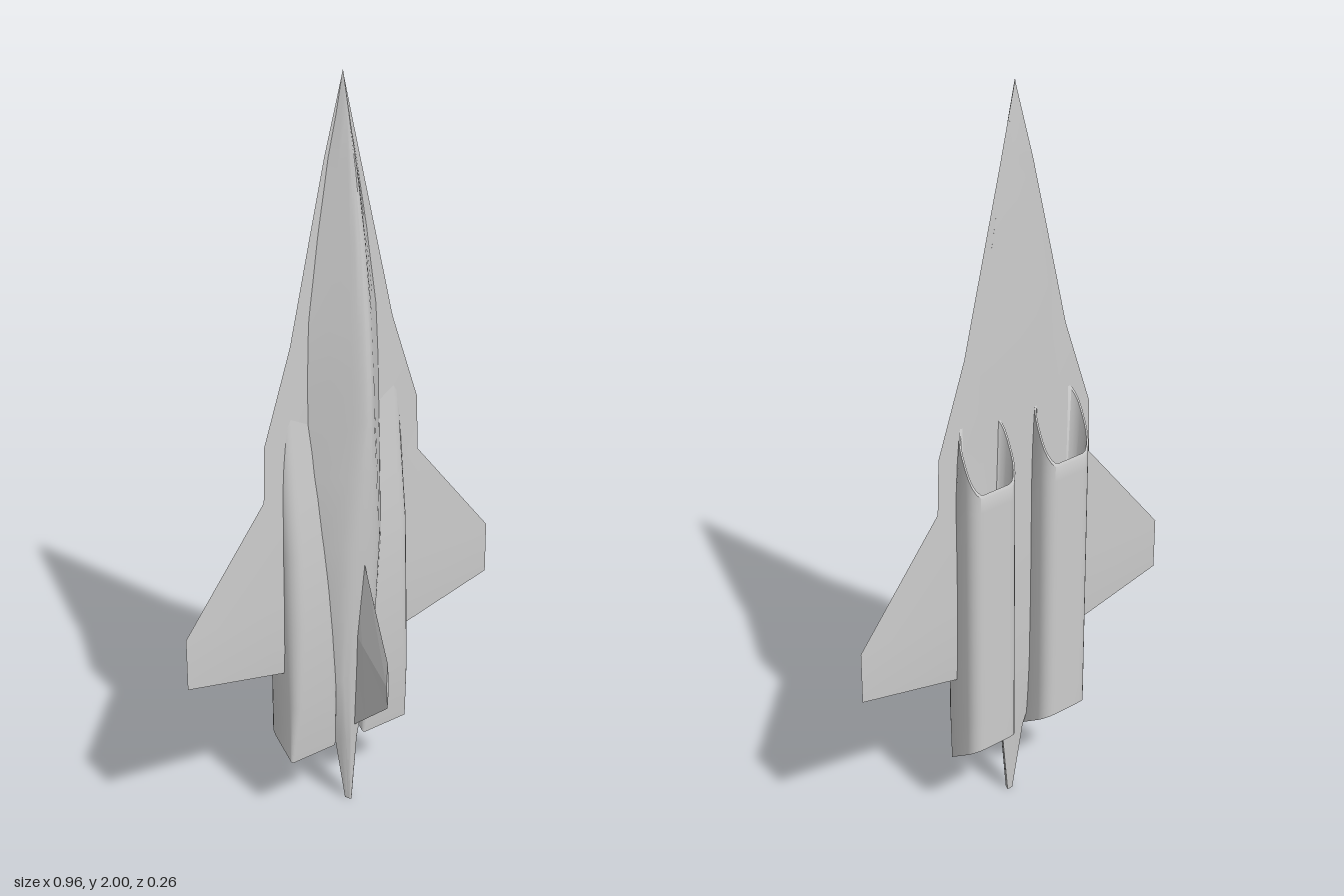
import * as THREE from 'three';
import { toCreasedNormals } from 'three/addons/utils/BufferGeometryUtils.js';

const material = new THREE.MeshStandardMaterial({ color: 0xcccccc });

// Skins a list of equal-length rings of [x, y, z] points and closes both ends
function loft(name, rings, crease) {
  const pos = [], n = rings[0].length;
  const tri = (...p) => p.forEach((v) => pos.push(...v));
  for (let i = 0; i < rings.length - 1; i++) {
    for (let j = 0; j < n; j++) {
      const k = (j + 1) % n, r = rings[i], s = rings[i + 1];
      tri(r[j], s[j], r[k]);
      tri(s[j], s[k], r[k]);
    }
  }
  const first = rings[0], last = rings[rings.length - 1];
  const centre = (r) => [0, 1, 2].map((a) => r.reduce((sum, p) => sum + p[a], 0) / n);
  const c0 = centre(first), c1 = centre(last);
  for (let j = 0; j < n; j++) {
    const k = (j + 1) % n;
    tri(c0, first[j], first[k]);
    tri(c1, last[k], last[j]);
  }
  const geometry = new THREE.BufferGeometry();
  geometry.setAttribute('position', new THREE.Float32BufferAttribute(pos, 3));
  const mesh = new THREE.Mesh(toCreasedNormals(geometry, crease), material);
  mesh.name = name;
  return mesh;
}

// Rounded rectangle ring in x and z with separate radii for the upper (+z)
// and lower corners; yAt gives the height for each z
function roundedRing(x0, x1, z0, z1, upper, lower, yAt) {
  const ring = [], steps = 5;
  const corners = [
    [x1 - upper, z1 - upper, upper], [x0 + upper, z1 - upper, upper],
    [x0 + lower, z0 + lower, lower], [x1 - lower, z0 + lower, lower],
  ];
  corners.forEach(([cx, cz, r], q) => {
    for (let i = 0; i <= steps; i++) {
      const t = (q + i / steps) * Math.PI / 2;
      const z = cz + r * Math.sin(t);
      ring.push([cx + r * Math.cos(t), yAt(z), z]);
    }
  });
  return ring;
}

// Fuselage: flat belly, sloping sides that grow fuller aft, rounded ridge
function fuselage() {
  // height, half width, belly z, ridge z, side exponent (lower is fuller)
  const stations = [
    [0, 0.008, -0.036, -0.02, 0.6], [0.2, 0.034, -0.046, -0.009, 0.55],
    [0.3, 0.064, -0.052, 0, 0.5], [0.4, 0.088, -0.056, 0.009, 0.5],
    [0.6, 0.108, -0.058, 0.027, 0.5], [0.8, 0.124, -0.058, 0.042, 0.6],
    [1.0, 0.122, -0.058, 0.053, 0.8], [1.15, 0.118, -0.058, 0.057, 1],
    [1.25, 0.116, -0.058, 0.055, 1], [1.4, 0.107, -0.057, 0.046, 1],
    [1.6, 0.077, -0.056, 0.026, 1], [1.77, 0.046, -0.054, 0.001, 1],
    [1.9, 0.019, -0.051, -0.024, 1], [2, 0.0005, -0.047, -0.046, 1],
  ];
  const half = [[1, 0], [0.62, 0.42], [0.3, 0.78], [0.2, 0.885], [0.12, 0.95], [0.05, 0.99]];
  return loft('fuselage', stations.map(([y, w, z0, z1, p]) => {
    const side = half.map(([x, z]) => [w * x ** p, y, z0 + z * (z1 - z0)]);
    const mirrored = side.map(([x, , z]) => [-x, y, z]).reverse();
    return [...side, [0, y, z1], ...mirrored, [0, y, z0 - 0.06 * (z1 - z0)]];
  }), 0.6);
}

// Delta wings and forward strakes: one thin diamond-section plate
function wings() {
  // height, half span, half thickness
  const stations = [
    [0.452, 0.185, 0.001], [0.518, 0.479, 0.005], [0.66, 0.479, 0.007], [0.96, 0.24, 0.008],
    [1.11, 0.235, 0.007], [1.35, 0.155, 0.005], [1.6, 0.097, 0.004], [1.8, 0.05, 0.003],
    [1.995, 0.001, 0.0005],
  ];
  return loft('wingsAndStrakes', stations.map(([y, w, h]) => {
    const z = y > 1.8 ? -0.053 + (y - 1.8) * 0.03 : -0.053;
    return [[w, y, z], [w * 0.5, y, z + h * 0.8], [0, y, z + h], [-w * 0.5, y, z + h * 0.8],
      [-w, y, z], [-w * 0.5, y, z - h * 0.8], [0, y, z - h], [w * 0.5, y, z - h * 0.8]];
  }), 0.5);
}

// Engine nacelle: hollow raked intake, long duct and slanted, recessed exhaust
function nacelle(side) {
  const intake = (z) => 1.18 - (-0.052 - z) * 2.25;
  const exhaust = (z) => 0.19 + Math.max(0, -0.025 - z) * 0.7;
  const [a, b] = side > 0 ? [0.045, 0.188] : [-0.188, -0.045];
  const box = (inset, z0, z1, upper, lower, yAt) =>
    roundedRing(a + inset, b - inset, z0, z1, upper, lower, yAt);
  return loft(side > 0 ? 'leftNacelle' : 'rightNacelle', [
    box(0.012, -0.117, -0.034, 0.008, 0.025, () => 0.272),
    box(0.006, -0.122, -0.03, 0.006, 0.028, exhaust),
    box(0, -0.128, -0.025, 0.006, 0.032, exhaust),
    box(0, -0.128, -0.007, 0.025, 0.032, () => 0.36),
    box(0, -0.128, -0.006, 0.035, 0.032, () => 0.6),
    box(0, -0.128, -0.012, 0.035, 0.032, () => 0.8),
    box(0, -0.128, -0.03, 0.035, 0.032, () => 0.97),
    box(0, -0.128, -0.052, 0.03, 0.032, intake),
    box(0.005, -0.124, -0.054, 0.028, 0.028, intake),
    box(0.021, -0.12, -0.058, 0.015, 0.02, () => 0.75),
  ], 0.6);
}

// Dorsal fin: tapered blade with a diamond section
function fin() {
  // z, trailing height, leading height, half thickness
  const stations = [
    [-0.02, 0.232, 0.9, 0.01], [0.04, 0.285, 0.74, 0.009], [0.133, 0.367, 0.5, 0.004],
  ];
  return loft('dorsalFin', stations.map(([z, y0, y1, t]) => {
    const mid = (y0 + y1) / 2;
    return [[0, y0, z], [-t, mid, z], [0, y1, z], [t, mid, z]];
  }), 0.02);
}

export function createModel() {
  const model = new THREE.Group();
  model.name = 'deltaAircraft';
  model.add(fuselage(), wings(), nacelle(1), nacelle(-1), fin());
  return model;
}
